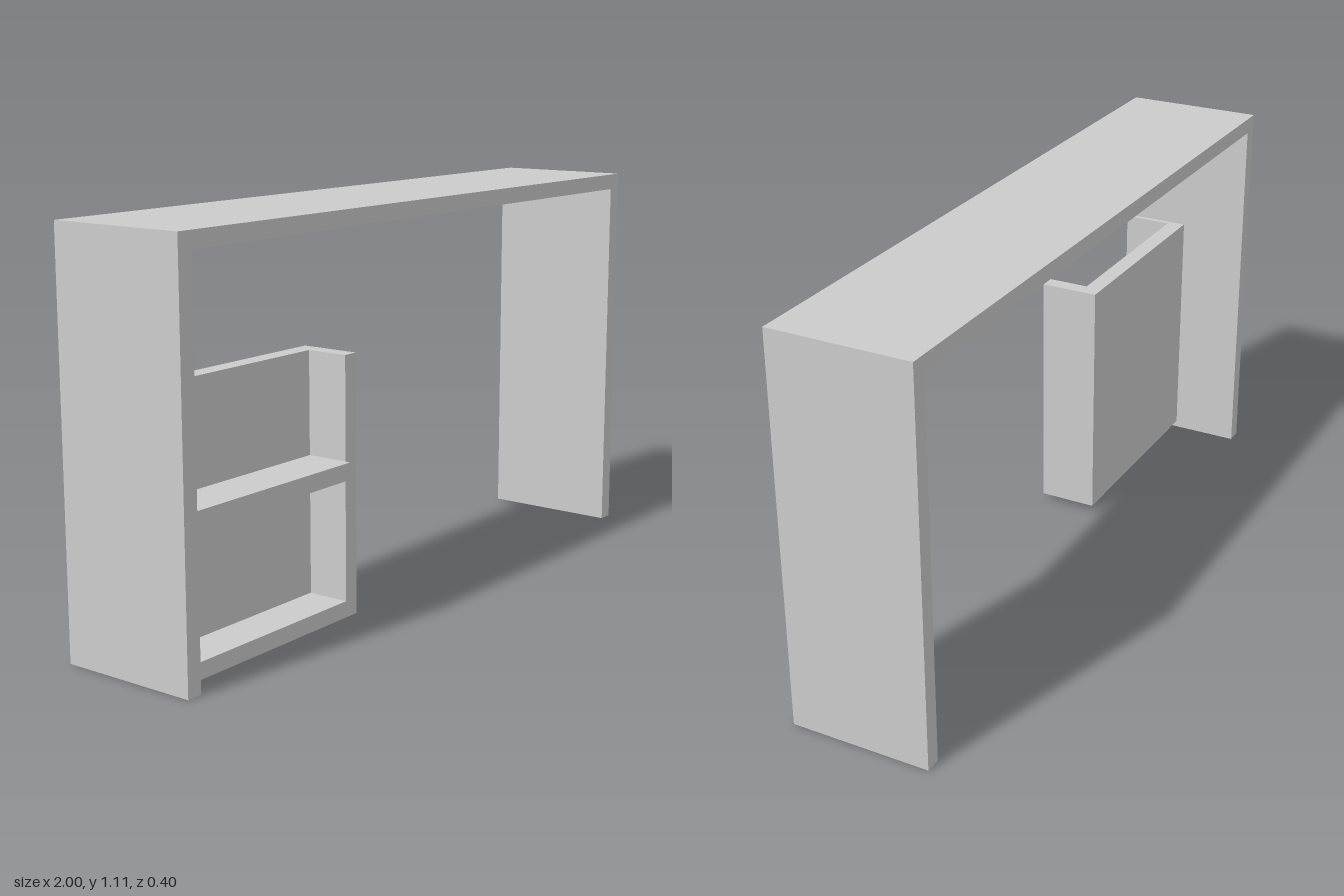
import * as THREE from 'three';

const material = new THREE.MeshStandardMaterial({ color: 0xcccccc });

// Extrudes an outline of [x, y] points from z0 to z1
function extrude(name, points, z0, z1) {
  const shape = new THREE.Shape(points.map(([x, y]) => new THREE.Vector2(x, y)));
  const geometry = new THREE.ExtrudeGeometry(shape, { depth: z1 - z0, bevelEnabled: false });
  geometry.translate(0, 0, z0);
  const mesh = new THREE.Mesh(geometry, material);
  mesh.name = name;
  return mesh;
}

// Box given by its lower and upper corners
function box(name, [x0, y0, z0], [x1, y1, z1]) {
  const mesh = new THREE.Mesh(new THREE.BoxGeometry(x1 - x0, y1 - y0, z1 - z0), material);
  mesh.position.set((x0 + x1) / 2, (y0 + y1) / 2, (z0 + z1) / 2);
  mesh.name = name;
  return mesh;
}

export function createModel() {
  const group = new THREE.Group();
  group.name = 'desk';

  // Desktop and both panel legs in one arch
  const t = 0.045, height = 1.11;
  group.add(extrude('deskFrame', [
    [-1, 0], [-1 + t, 0], [-1 + t, height - t], [1 - t, height - t],
    [1 - t, 0], [1, 0], [1, height], [-1, height],
  ], -0.2, 0.2));

  // Open-topped cabinet, its left side let into the leg
  const left = -0.985, right = -0.31, bottom = 0.02, top = 0.73;
  const back = 0, inner = 0.05, front = 0.17;
  const cabinet = new THREE.Group();
  cabinet.name = 'cabinet';
  cabinet.add(
    extrude('cabinetSidesAndFloor', [
      [left, bottom], [right, bottom], [right, top], [right - t, top],
      [right - t, bottom + t], [left + t, bottom + t], [left + t, top], [left, top],
    ], inner, front),
    box('cabinetBack', [left, bottom, back], [right, top, inner]),
    // Shelf stands slightly proud of the cabinet front
    box('cabinetShelf', [left + t, 0.4, inner], [right - t, 0.447, 0.185]),
  );
  group.add(cabinet);
  return group;
}
